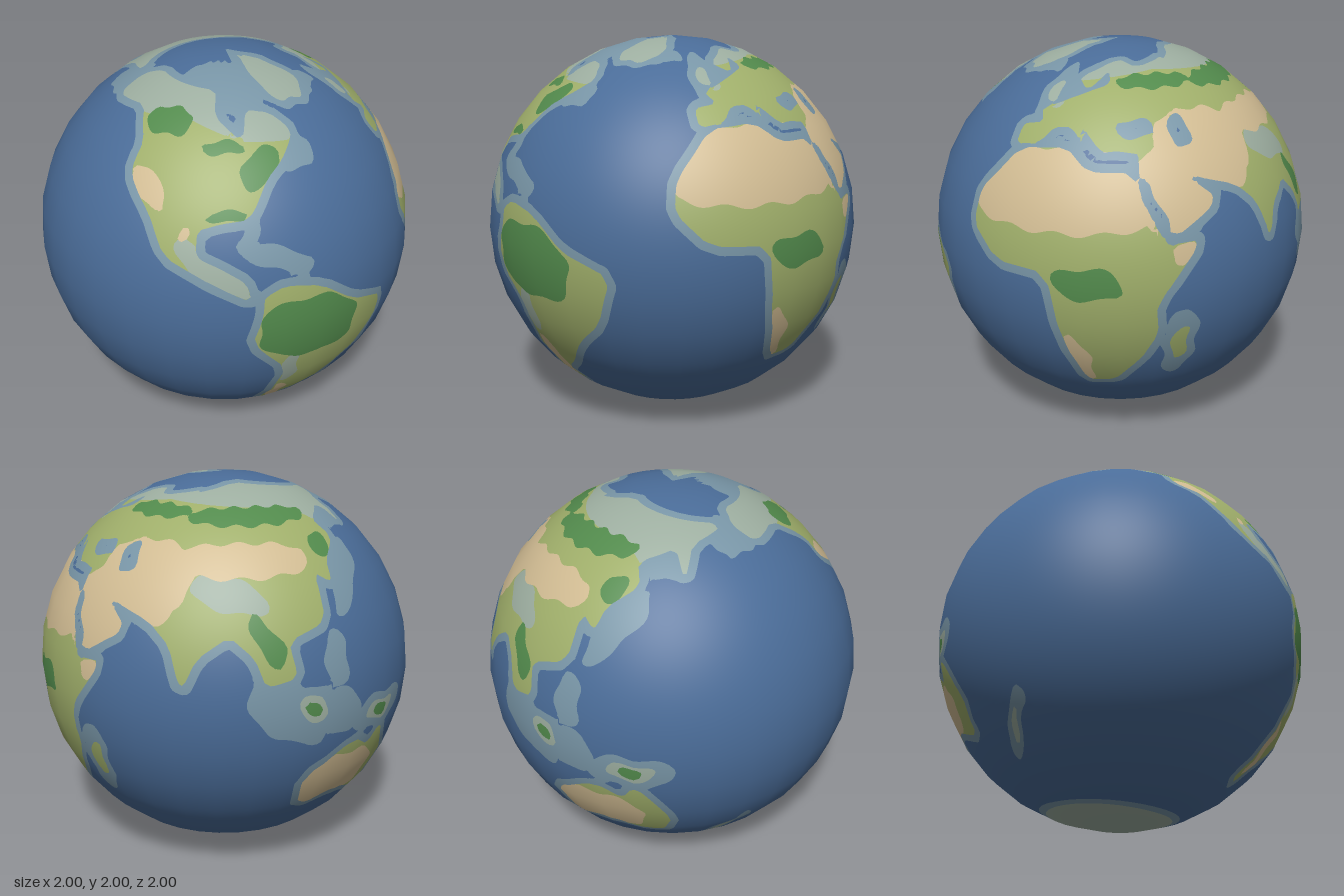
import * as THREE from 'three';

// Coast outlines: longitude, latitude in degrees.
const northAmerica = [
  -165, 65, -156, 71, -125, 70, -95, 69, -94, 60, -81, 52, -77, 62, -64, 60, -57, 53, -66, 46, -74, 41, -81, 31, -90, 30,
  -97, 28, -97, 21, -90, 18, -83, 14, -81, 8, -95, 15, -106, 20, -113, 31, -124, 40, -124, 49, -136, 59, -160, 57];
const southAmerica = [
  -78, 9, -72, 12, -61, 9.5, -50, 1, -35, -5, -40, -20, -49, -28, -57, -38, -66, -44, -68, -54, -74, -52, -72, -35,
  -70, -19, -81, -6, -78, 4];
const africa = [
  -6, 36, 11, 37.5, 19, 31, 33, 31, 39, 16, 43, 11.5, 52, 12, 39, -5, 40, -15, 35, -25, 27, -34.5, 18, -35, 12, -17,
  9, 3, -8, 4, -17.5, 13, -17, 22];
const europe = [
  -10, 43, -9, 36.5, 0, 38, 4, 43, 11, 43.5, 17, 38, 14, 45, 23, 36.5, 28, 37, 36, 36, 70, 35, 72, 72, 40, 66, 28, 71,
  5, 61.5, 13, 56, 22, 65, 24, 59, 9, 54, -5, 48.5, -1, 44];
const asia = [
  35, 40, 35, 28, 43, 12.5, 59, 22, 49, 30, 66, 25, 73, 19, 77, 7, 81, 16, 90, 22, 97, 16, 100, 8, 109, 10, 107, 20, 120, 24,
  121, 38, 127, 34, 129, 41, 140, 48, 137, 55, 155, 60, 158, 50, 164, 61, 190, 66, 140, 73, 100, 77, 60, 68];
const australia = [113, -22, 130, -12, 138, -17, 142, -10, 153, -26, 149, -38.5, 131, -31.5, 115, -35];

// Rounded patches: centre longitude, centre latitude, half width, half height, slope.
const islands = [[-42, 73, 18, 11], [-3, 54.5, 3, 4], [47, -19, 2.5, 6], [114, 1, 4, 4], [141, -5.5, 7, 3], [173, -41, 4, 2, 1]];
const inlandSeas = [[35, 43.5, 7, 2.8], [51, 42, 4, 5], [39.5, 20, 4.5, 3.5, -1.8]];
const shallows = [
  [-74, 20, 11, 3.5, -0.35], [-81, 28, 2.5, 4], [-95, 71, 36, 11], [-60, 47, 8, 5], [-18, 65, 7, 3], [-1, 55, 9, 6],
  [21, 60, 6, 6], [107, 0, 12, 8, -0.4], [124, -2, 6, 7], [122, 13, 4, 8], [135, 36, 10, 6, 0.9], [150, 57, 10, 7],
  [-172, 62, 14, 7]];
const forests = [
  [-117, 57, 12, 4.5], [-90, 50.5, 9, 2], [-75, 44.5, 8, 5, 0.3], [-87, 31.7, 8, 1.5], [-63.5, -4, 15.5, 10.5, -0.1],
  [20, 0.5, 9.5, 4.5], [48, 60, 22, 3.2], [102, 58.5, 33, 4], [130, 46.5, 5, 4], [101, 20.5, 5, 5, -1],
  [114, 1, 2.5, 2], [141, -5.5, 3.5, 2]];
const deserts = [
  [-116, 37.5, 8, 4, -0.4], [-101, 26, 1.5, 2], [-69, -40, 3, 10], [10, 25.5, 36, 11.5], [48, 25, 14, 13], [47, 9, 4, 3],
  [59, 38, 19, 11], [95, 43, 26, 5.5], [63, 29, 9, 7], [16.5, -26, 4, 9, -1], [126, -26, 18, 9.5]];
const highlands = [
  [90, 33, 12, 4.8, -0.2], [-68.5, -20, 2.7, 8], [-92, 17, 11, 5, -0.5], [-3, 55, 7, 6], [114, 1, 6, 6], [141, -5.5, 9, 5],
  [174, -41, 7, 9]];
// Southern limit of the cold north: longitude, latitude.
const coldLine = [[-180, 55], [-105, 58], [-80, 52], [-50, 50], [0, 59], [50, 65], [128, 61], [142, 52], [180, 50]];

// Corner-cut an outline so coasts are rounded.
function smooth(flat) {
  const out = [];
  for (let i = 0; i < flat.length; i += 2) {
    const [x, y] = [flat[i], flat[i + 1]];
    const [u, v] = [flat[(i + 2) % flat.length], flat[(i + 3) % flat.length]];
    out.push([x + (u - x) * 0.17, y + (v - y) * 0.17], [x + (u - x) * 0.83, y + (v - y) * 0.83]);
  }
  return out;
}

const squeezeAt = lat => Math.max(0.15, Math.cos(lat * Math.PI / 180));

// Signed distance in degrees to an outline, positive inside.
function outlineField(poly, lon, lat) {
  const squeeze = squeezeAt(lat);
  let best = Infinity, inside = false;
  for (let i = 0, j = poly.length - 1; i < poly.length; j = i++) {
    const ax = (poly[j][0] - lon) * squeeze, ay = poly[j][1] - lat;
    const bx = (poly[i][0] - lon) * squeeze, by = poly[i][1] - lat;
    if ((ay > 0) !== (by > 0) && ax - ay * (bx - ax) / (by - ay) > 0) inside = !inside;
    const dx = bx - ax, dy = by - ay;
    const t = Math.min(1, Math.max(0, -(ax * dx + ay * dy) / (dx * dx + dy * dy)));
    best = Math.min(best, (ax + t * dx) ** 2 + (ay + t * dy) ** 2);
  }
  return Math.sqrt(best) * (inside ? 1 : -1);
}

// Largest field of a set of patches, with gently wavy edges.
function patchField(patches, lon, lat) {
  return Math.max(...patches.map(([x, y, rx, ry, slope = 0]) => {
    const dx = (lon - x + 540) % 360 - 180 + 0.7 * Math.sin(lat * 0.6);
    const dy = lat - y - slope * dx + 0.7 * Math.sin(lon * 0.45);
    const d = (Math.abs(dx / rx) ** 2.5 + Math.abs(dy / ry) ** 2.5) ** 0.4;
    return (1 - d) * Math.min(rx * squeezeAt(lat), ry);
  }));
}

function coldLimit(lon) {
  const k = Math.max(1, coldLine.findIndex(([x]) => x >= lon));
  const [a, b] = [coldLine[k - 1], coldLine[k]];
  return a[1] + (b[1] - a[1]) * (lon - a[0]) / (b[0] - a[0]);
}

const coasts = [northAmerica, southAmerica, africa, europe, asia, australia].map(smooth);

// Fields for forest, desert, tundra, any land, and shallow water.
function fieldsAt(lon, lat) {
  const southCap = -71 - lat + 5 * Math.cos((lon - 80) * Math.PI / 180);
  let land = Math.max(southCap, patchField(islands, lon, lat));
  for (const coast of coasts) {
    land = Math.max(land, outlineField(coast, lon, lat));
    if (lon < -145) land = Math.max(land, outlineField(coast, lon + 360, lat));
  }
  land = Math.min(land, -patchField(inlandSeas, lon, lat));
  const cold = Math.max(lat - coldLimit(lon), -55 - lat, patchField(highlands, lon, lat));
  return [
    Math.min(land, patchField(forests, lon, lat)),
    Math.min(land, patchField(deserts, lon, lat)),
    Math.min(land, cold),
    land,
    Math.max(land + 2.4, patchField(shallows, lon, lat)),
  ];
}

// Cut a polygon where field k changes sign; returns the inside and outside pieces.
function split(poly, k) {
  const inside = [], outside = [];
  poly.forEach((a, i) => {
    const b = poly[(i + 1) % poly.length], fa = a.f[k], fb = b.f[k];
    (fa > 0 ? inside : outside).push(a);
    if ((fa > 0) !== (fb > 0)) {
      const t = fa / (fa - fb);
      const cut = { p: a.p.clone().lerp(b.p, t), f: a.f.map((v, n) => v + (b.f[n] - v) * t) };
      inside.push(cut);
      outside.push(cut);
    }
  });
  return [inside, outside];
}

export function createModel() {
  const group = new THREE.Group();
  group.name = 'globe';
  const COLS = 32, ROWS = 16, SUB = 8, FRONT_LON = -83;

  // Point on the faceted ball.
  const corner = (c, r) => new THREE.Vector3().setFromSphericalCoords(1, Math.PI * (1 - r / ROWS), 2 * Math.PI * c / COLS);
  function vertex(i, j) {
    const c = Math.min(COLS - 1, Math.floor(i / SUB)), r = Math.min(ROWS - 1, Math.floor(j / SUB));
    const u = i / SUB - c, v = j / SUB - r;
    const p = corner(c, r).lerp(corner(c + 1, r), u).lerp(corner(c, r + 1).lerp(corner(c + 1, r + 1), u), v);
    const lat = Math.asin(p.y / p.length()) * 180 / Math.PI;
    const lon = Math.atan2(p.x, p.z) * 180 / Math.PI + FRONT_LON;
    return { p, f: fieldsAt(lon < -180 ? lon + 360 : lon, lat) };
  }
  const grid = Array.from({ length: ROWS * SUB + 1 }, (_, j) =>
    Array.from({ length: COLS * SUB + 1 }, (_, i) => vertex(i, j)));

  // Sort every piece of the surface into its colour layer.
  const layers = [
    ['forest', 0x528a4c], ['desert', 0xd0bb92], ['tundra', 0x9daea0],
    ['grassland', 0x9fae6a], ['shallows', 0x7895a6], ['ocean', 0x4a6c98],
  ].map(([name, color]) => ({ name, color, positions: [], normals: [] }));
  function emit(layer, poly) {
    for (let n = 1; n + 1 < poly.length; n++) {
      for (const { p } of [poly[0], poly[n], poly[n + 1]]) {
        layer.positions.push(p.x, p.y + 1, p.z);
        layer.normals.push(...p.clone().normalize());
      }
    }
  }
  function place(triangle) {
    let rest = triangle;
    for (let k = 0; k < 5; k++) {
      const [inside, outside] = split(rest, k);
      emit(layers[k], inside);
      rest = outside;
    }
    emit(layers[5], rest);
  }
  for (let j = 0; j < ROWS * SUB; j++) for (let i = 0; i < COLS * SUB; i++) {
    const a = grid[j][i], b = grid[j][i + 1], c = grid[j + 1][i + 1], d = grid[j + 1][i];
    if (j > 0) place([a, b, c]);
    if (j < ROWS * SUB - 1) place([a, c, d]);
  }

  for (const { name, color, positions, normals } of layers) {
    const geometry = new THREE.BufferGeometry();
    geometry.setAttribute('position', new THREE.Float32BufferAttribute(positions, 3));
    geometry.setAttribute('normal', new THREE.Float32BufferAttribute(normals, 3));
    const material = new THREE.MeshStandardMaterial({ color });
    material.name = name;
    const mesh = new THREE.Mesh(geometry, material);
    mesh.name = name;
    group.add(mesh);
  }
  return group;
}
